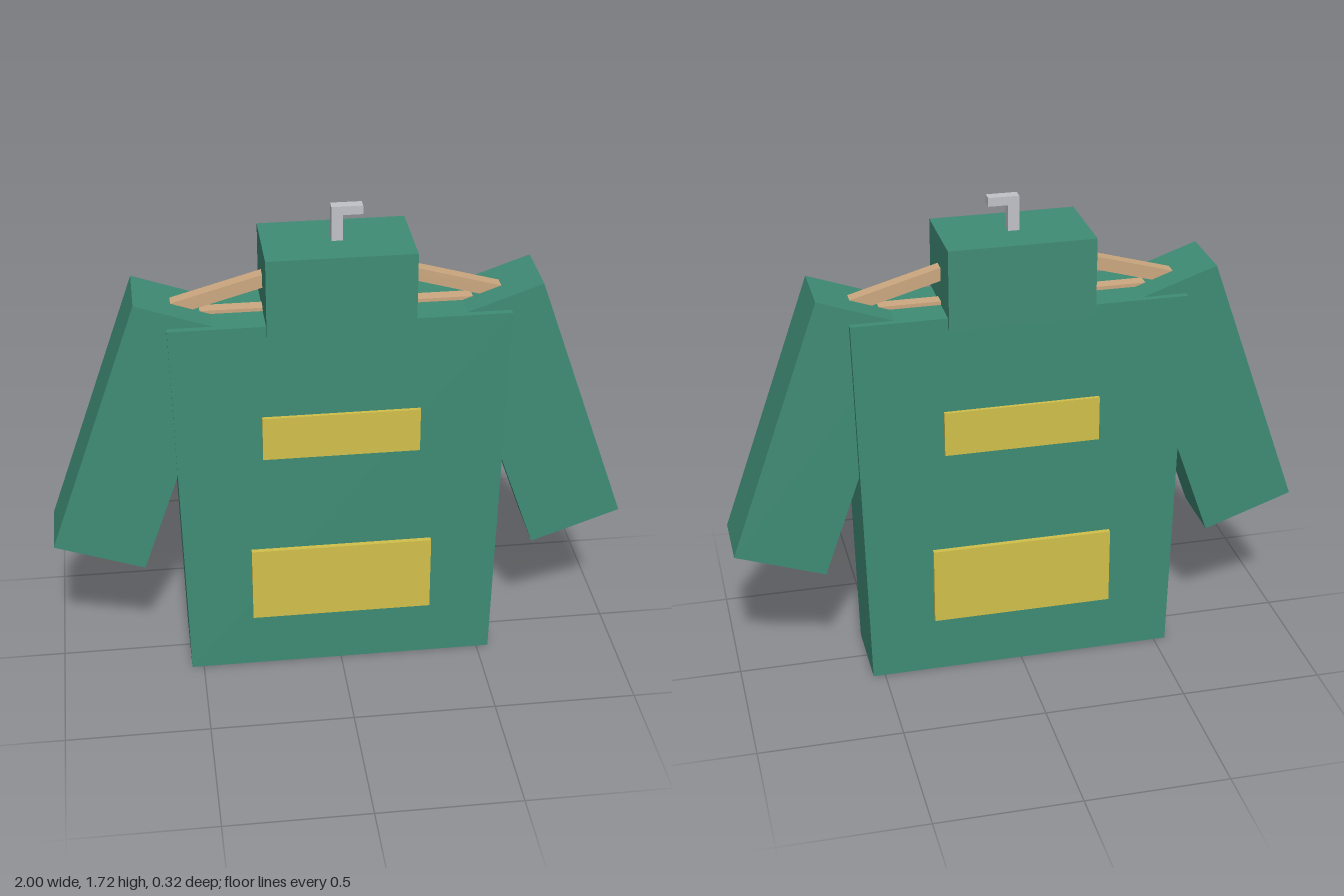
import * as THREE from 'three';

const material = (name, color) => {
  const m = new THREE.MeshStandardMaterial({ color });
  m.name = name;
  return m;
};

export function createModel() {
  const model = new THREE.Group();
  model.name = 'sweaterOnHanger';
  const green = material('greenFabric', 0x3f8c75);
  const yellow = material('yellowPatch', 0xd2c04c);
  const wood = material('hangerWood', 0xcca880);
  const metal = material('hookMetal', 0xc0c2c8);

  const box = (name, mat, w, h, d, x, y, z = 0, tilt = 0) => {
    const mesh = new THREE.Mesh(new THREE.BoxGeometry(w, h, d), mat);
    mesh.name = name;
    mesh.position.set(x, y, z);
    mesh.rotation.z = tilt;
    model.add(mesh);
    return mesh;
  };

  // Torso, slightly narrower at the hem
  const torso = box('torso', green, 1.15, 1.36, 0.28, 0, 0.68);
  const p = torso.geometry.attributes.position;
  for (let i = 0; i < p.count; i++) {
    if (p.getY(i) < 0) p.setX(i, Math.sign(p.getX(i)) * 0.542);
  }
  torso.geometry.computeVertexNormals();

  // Collar
  box('collar', green, 0.5, 0.28, 0.308, 0, 1.46);

  // Sleeves and sloping hanger arms
  for (const [side, s] of [['left', 1], ['right', -1]]) {
    box(side + 'Sleeve', green, 0.33, 0.965, 0.233, s * 0.685, 0.94, 0, s * 0.338);
    box(side + 'HangerArm', wood, 0.6, 0.045, 0.046, s * 0.29, 1.458, 0, -s * 0.275);
  }

  // Hanger crossbar
  box('hangerBar', wood, 1.1, 0.045, 0.046, 0, 1.35);

  // Hook
  box('hookPost', metal, 0.038, 0.16, 0.038, 0, 1.64);
  box('hookTip', metal, 0.105, 0.03, 0.038, 0.0335, 1.705);

  // Patches on the front and back
  for (const [side, s] of [['front', 1], ['back', -1]]) {
    box(side + 'UpperPatch', yellow, 0.54, 0.16, 0.02, 0, 0.94, s * 0.143);
    box(side + 'LowerPatch', yellow, 0.635, 0.28, 0.02, 0, 0.35, s * 0.148);
  }
  return model;
}
